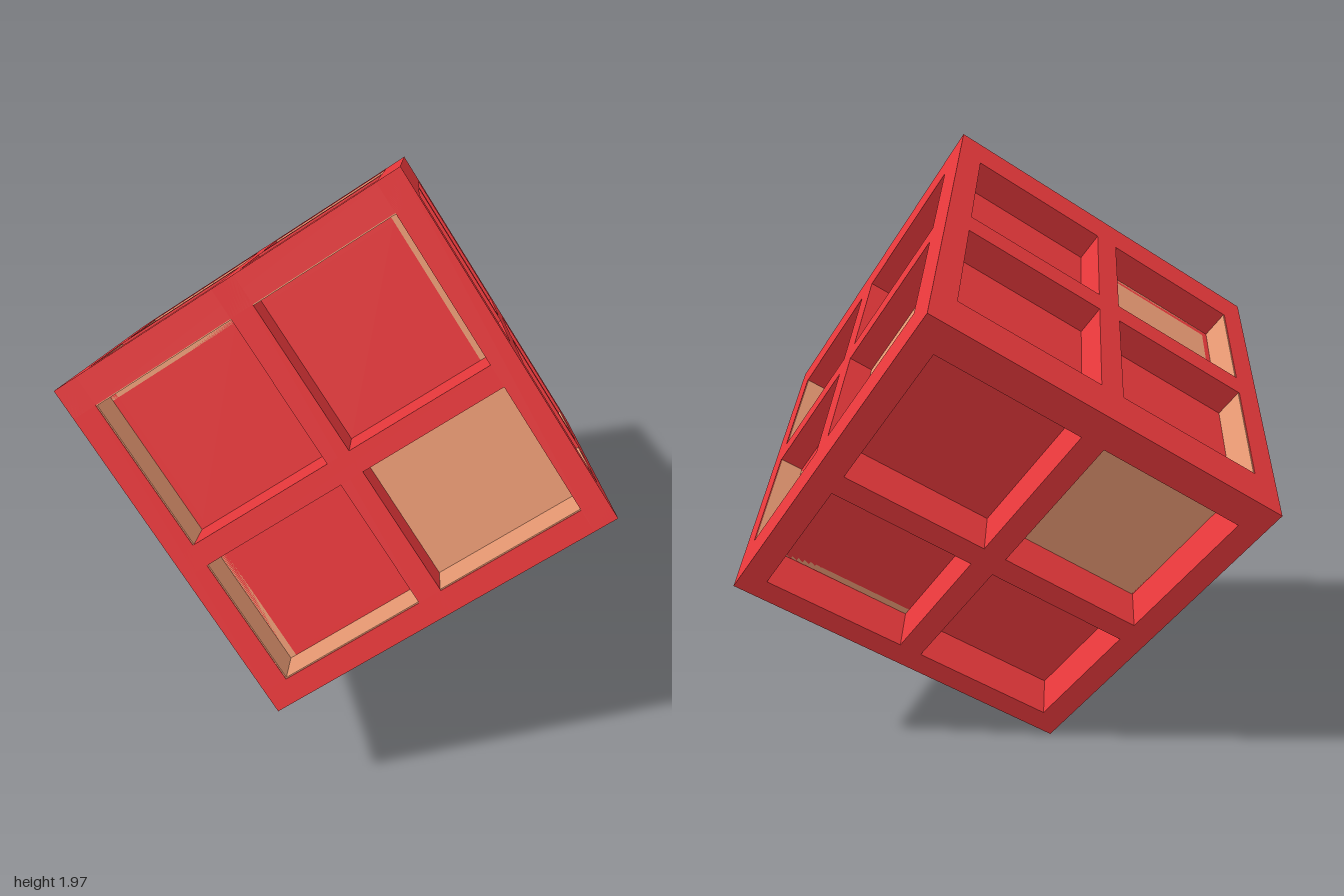
import * as THREE from 'three';

const SIZE = 1.2;
// Rails of the frame along each local axis, as fractions measured from the + end
const RAILS = [
  [[0, 0.066], [0.467, 0.531], [0.933, 1]],
  [[0, 0.084], [0.509, 0.572], [0.935, 1]],
  [[0, 0.116], [0.454, 0.53], [0.883, 1]],
];
// Tan panels, named by face (axis, side) and cell (row, column)
const TAN_PANELS = new Set(['0+00', '0+01', '0+10', '0-10', '1+10', '1-00', '1-01', '2+01', '2-10']);
// Tan wall linings: face axis, face rail, wall axis, wall rail
const LININGS = [
  [2, 0, 1, 0], [2, 0, 1, 2], [2, 0, 0, 2],
  [0, 0, 1, 0], [0, 0, 1, 2],
  [1, 2, 0, 2], [1, 2, 2, 2], [1, 2, 2, 0],
  [1, 0, 0, 2], [1, 0, 2, 2],
];

export function createModel() {
  const red = new THREE.MeshStandardMaterial({ color: 0xe6383b });
  const tan = new THREE.MeshStandardMaterial({ color: 0xe69872 });
  const cube = new THREE.Group();
  cube.name = 'windowCube';

  // Box from one [start, end] fraction range per axis
  const addBox = (name, ranges, material) => {
    const size = ranges.map(([s, e]) => (e - s) * SIZE);
    const mesh = new THREE.Mesh(new THREE.BoxGeometry(...size), material);
    mesh.position.set(...ranges.map(([s, e]) => (0.5 - (s + e) / 2) * SIZE));
    mesh.name = name;
    cube.add(mesh);
  };
  const others = (k) => [0, 1, 2].filter((i) => i !== k);

  // Frame: eight bars along each axis, none through the middle
  for (let k = 0; k < 3; k++) {
    const [p, q] = others(k);
    for (let i = 0; i < 3; i++) {
      for (let j = 0; j < 3; j++) {
        if (i === 1 && j === 1) continue;
        const r = [];
        r[k] = [0, 1];
        r[p] = RAILS[p][i];
        r[q] = RAILS[q][j];
        addBox(i === 1 || j === 1 ? 'crossBar' : 'edgeBar', r, red);
      }
    }
  }

  // Recessed panels: four on every face, level with the back of the frame
  for (let k = 0; k < 3; k++) {
    const [p, q] = others(k);
    for (const side of ['+', '-']) {
      const floor = side === '+' ? RAILS[k][0][1] : RAILS[k][2][0];
      for (let i = 0; i < 2; i++) {
        for (let j = 0; j < 2; j++) {
          const r = [];
          r[k] = side === '+' ? [floor, floor + 0.02] : [floor - 0.02, floor];
          r[p] = [RAILS[p][i][1], RAILS[p][i + 1][0]];
          r[q] = [RAILS[q][j][1], RAILS[q][j + 1][0]];
          addBox('panel', r, TAN_PANELS.has(`${k}${side}${i}${j}`) ? tan : red);
        }
      }
    }
  }

  // Linings on the outer walls of the recesses
  for (const [k, face, w, wall] of LININGS) {
    const m = 3 - k - w;
    const edge = wall === 0 ? RAILS[w][0][1] : RAILS[w][2][0];
    const r = [];
    r[k] = face === 0 ? [0.002, RAILS[k][0][1]] : [RAILS[k][2][0], 0.998];
    r[w] = wall === 0 ? [edge, edge + 0.003] : [edge - 0.003, edge];
    r[m] = [RAILS[m][0][1], RAILS[m][2][0]];
    addBox('wallLining', r, tan);
  }

  // Stand the cube on one corner
  const x = new THREE.Vector3(0.775, 0.525, 0.35).normalize();
  const y = new THREE.Vector3(-0.283, 0.783, -0.558);
  y.addScaledVector(x, -y.dot(x)).normalize();
  const z = new THREE.Vector3().crossVectors(x, y);
  cube.quaternion.setFromRotationMatrix(new THREE.Matrix4().makeBasis(x, y, z));
  cube.position.y = (SIZE / 2) * (Math.abs(x.y) + Math.abs(y.y) + Math.abs(z.y));

  const model = new THREE.Group();
  model.add(cube);
  return model;
}
